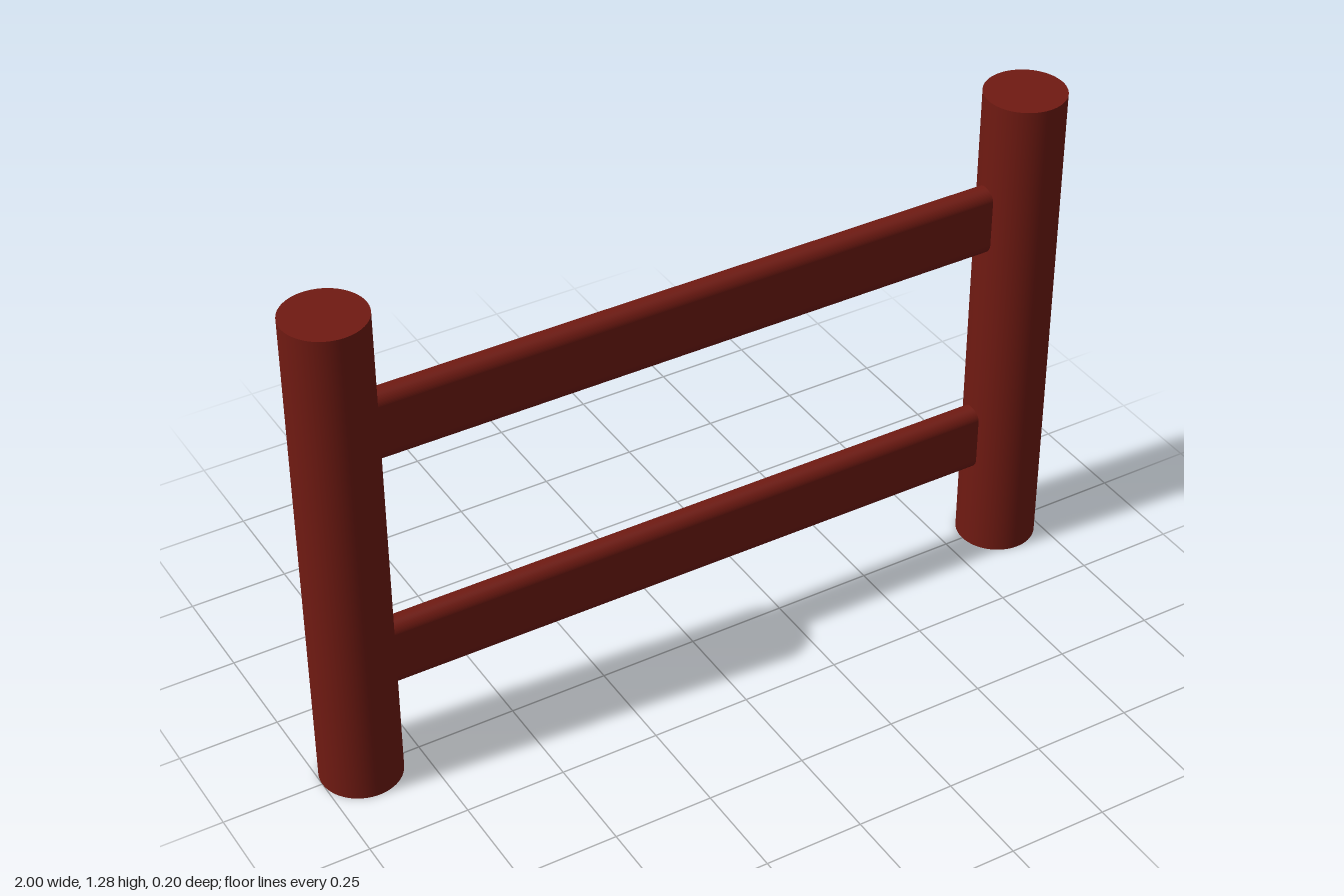
import * as THREE from 'three';

const POST_RADIUS = 0.1, POST_HEIGHT = 1.285, POST_X = 0.9;
const RAIL_HEIGHT = 0.18, RAIL_THICKNESS = 0.06, RAIL_LENGTH = 1.64;

// Rail cross-section: a flat board with rounded top and bottom edges
function railGeometry() {
  const r = RAIL_THICKNESS / 2, h = RAIL_HEIGHT / 2 - r;
  const shape = new THREE.Shape();
  shape.moveTo(r, -h);
  shape.lineTo(r, h);
  shape.absarc(0, h, r, 0, Math.PI, false);
  shape.lineTo(-r, -h);
  shape.absarc(0, -h, r, Math.PI, Math.PI * 2, false);
  const geometry = new THREE.ExtrudeGeometry(shape, {
    depth: RAIL_LENGTH, bevelEnabled: false, curveSegments: 16,
  });
  geometry.translate(0, 0, -RAIL_LENGTH / 2);
  geometry.rotateY(Math.PI / 2);
  return geometry;
}

export function createModel() {
  const group = new THREE.Group();
  group.name = 'fence';
  const paint = new THREE.MeshStandardMaterial({ color: 0x701a12 });

  const add = (name, geometry, x, y) => {
    const mesh = new THREE.Mesh(geometry, paint);
    mesh.name = name;
    mesh.position.set(x, y, 0);
    group.add(mesh);
  };

  // Round upright posts
  const post = new THREE.CylinderGeometry(POST_RADIUS, POST_RADIUS, POST_HEIGHT, 64);
  add('leftPost', post, POST_X, POST_HEIGHT / 2);
  add('rightPost', post, -POST_X, POST_HEIGHT / 2);

  // Horizontal rails, ends set into the posts
  const rail = railGeometry();
  add('lowerRail', rail, 0, 0.325);
  add('upperRail', rail, 0, 0.965);

  return group;
}
